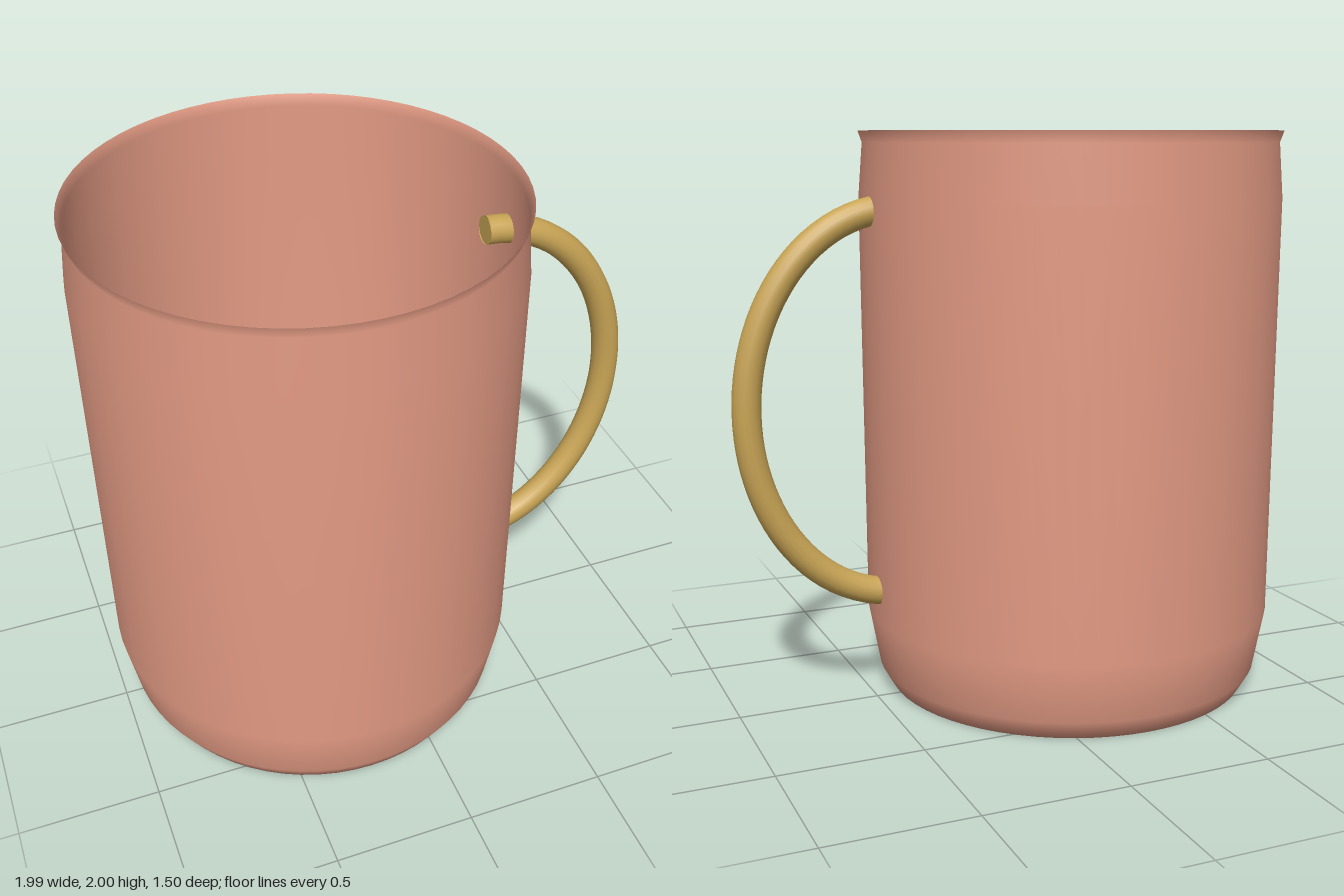
import * as THREE from 'three';

export function createModel() {
  const group = new THREE.Group();
  const copper = new THREE.MeshStandardMaterial({ color: 0xe39b84, side: THREE.DoubleSide });
  const brass = new THREE.MeshStandardMaterial({ color: 0xc8a455, side: THREE.DoubleSide });

  // Thin-walled cup: flat base, chamfered foot, slight neck and flared lip
  const profile = [
    [0, 0], [0.66, 0], [0.7, 0.07], [0.739, 0.28],
    [0.748, 1.77], [0.733, 1.96], [0.747, 2],
  ].map(([r, y]) => new THREE.Vector2(r, y));
  const body = new THREE.Mesh(new THREE.LatheGeometry(profile, 64), copper);
  body.name = 'body';
  body.position.x = -0.247;
  group.add(body);

  // Handle: half-ellipse rod whose ends pass through the wall
  const handle = new THREE.Group();
  handle.name = 'handle';
  const cx = 0.415, cy = 1.065, rise = 0.675, radius = 0.05;
  const points = [];
  for (let i = 0; i <= 24; i++) {
    const a = -Math.PI / 2 + (Math.PI * i) / 24;
    points.push(new THREE.Vector3(cx + 0.525 * Math.cos(a), cy + rise * Math.sin(a), 0));
  }
  const rod = new THREE.Mesh(
    new THREE.TubeGeometry(new THREE.CatmullRomCurve3(points), 48, radius, 16), brass);
  rod.name = 'handleRod';
  handle.add(rod);

  // Flat rod ends inside the cup
  for (const side of [-1, 1]) {
    const cap = new THREE.Mesh(new THREE.CircleGeometry(radius, 16), brass);
    cap.name = 'handleEnd';
    cap.rotation.y = -Math.PI / 2;
    cap.position.set(cx, cy + side * rise, 0);
    handle.add(cap);
  }
  group.add(handle);
  return group;
}
